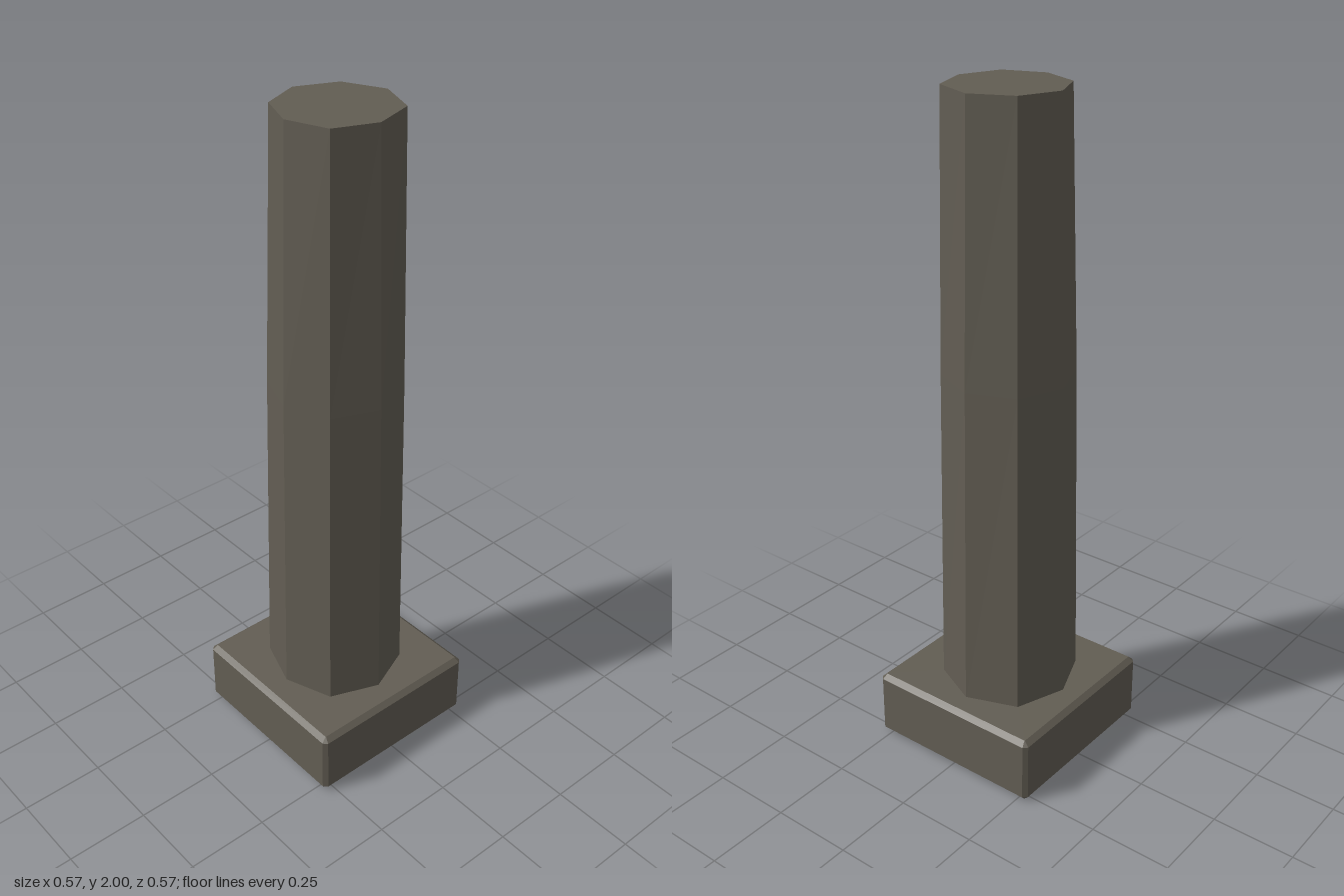
import * as THREE from 'three';

// Closed solid through stacked rings of [x, z] points, each ring at its own height
function loft(rings) {
  const pos = [];
  const tri = (...pts) => pts.forEach((p) => pos.push(...p));
  const loops = rings.map(({ y, points }) => points.map(([x, z]) => [x, y, z]));
  const n = loops[0].length;
  const bottom = loops[0];
  const top = loops[loops.length - 1];
  for (let i = 0; i < n; i++) {
    const j = (i + 1) % n;
    for (let k = 0; k < loops.length - 1; k++) {
      const a = loops[k];
      const b = loops[k + 1];
      tri(a[i], b[i], a[j]);
      tri(a[j], b[i], b[j]);
    }
    tri([0, bottom[0][1], 0], bottom[i], bottom[j]);
    tri([0, top[0][1], 0], top[j], top[i]);
  }
  const geometry = new THREE.BufferGeometry();
  geometry.setAttribute('position', new THREE.Float32BufferAttribute(pos, 3));
  geometry.computeVertexNormals();
  return geometry;
}

// Square of half-width h with corners cut by c
function cutSquare(h, c) {
  const s = h - c;
  return [[h, -s], [h, s], [s, h], [-s, h], [-h, s], [-h, -s], [-s, -h], [s, -h]];
}

// Uneven octagon: one radius per corner, starting at +x and turning towards +z
function octagon(radii) {
  return radii.map((r, i) => {
    const a = (i * Math.PI) / 4;
    return [r * Math.cos(a), r * Math.sin(a)];
  });
}

export function createModel() {
  const stone = new THREE.MeshStandardMaterial({ color: 0x625d53 });
  stone.name = 'stone';
  const group = new THREE.Group();
  group.name = 'column';

  const add = (name, rings) => {
    const mesh = new THREE.Mesh(loft(rings), stone);
    mesh.name = name;
    group.add(mesh);
  };

  // Bevelled square plinth
  add('plinth', [
    { y: 0, points: cutSquare(0.267, 0.001) },
    { y: 0.017, points: cutSquare(0.283, 0.012) },
    { y: 0.196, points: cutSquare(0.283, 0.012) },
    { y: 0.21, points: cutSquare(0.267, 0.001) },
  ]);

  // Hand-cut octagonal shaft, tapering a little faster near the top
  add('shaft', [
    { y: 0.2, points: octagon([0.204, 0.208, 0.2, 0.21, 0.208, 0.217, 0.21, 0.203]) },
    { y: 1.2, points: octagon([0.19, 0.192, 0.186, 0.192, 0.191, 0.195, 0.194, 0.192]) },
    { y: 2, points: octagon([0.168, 0.172, 0.165, 0.167, 0.17, 0.17, 0.175, 0.178]) },
  ]);

  return group;
}
